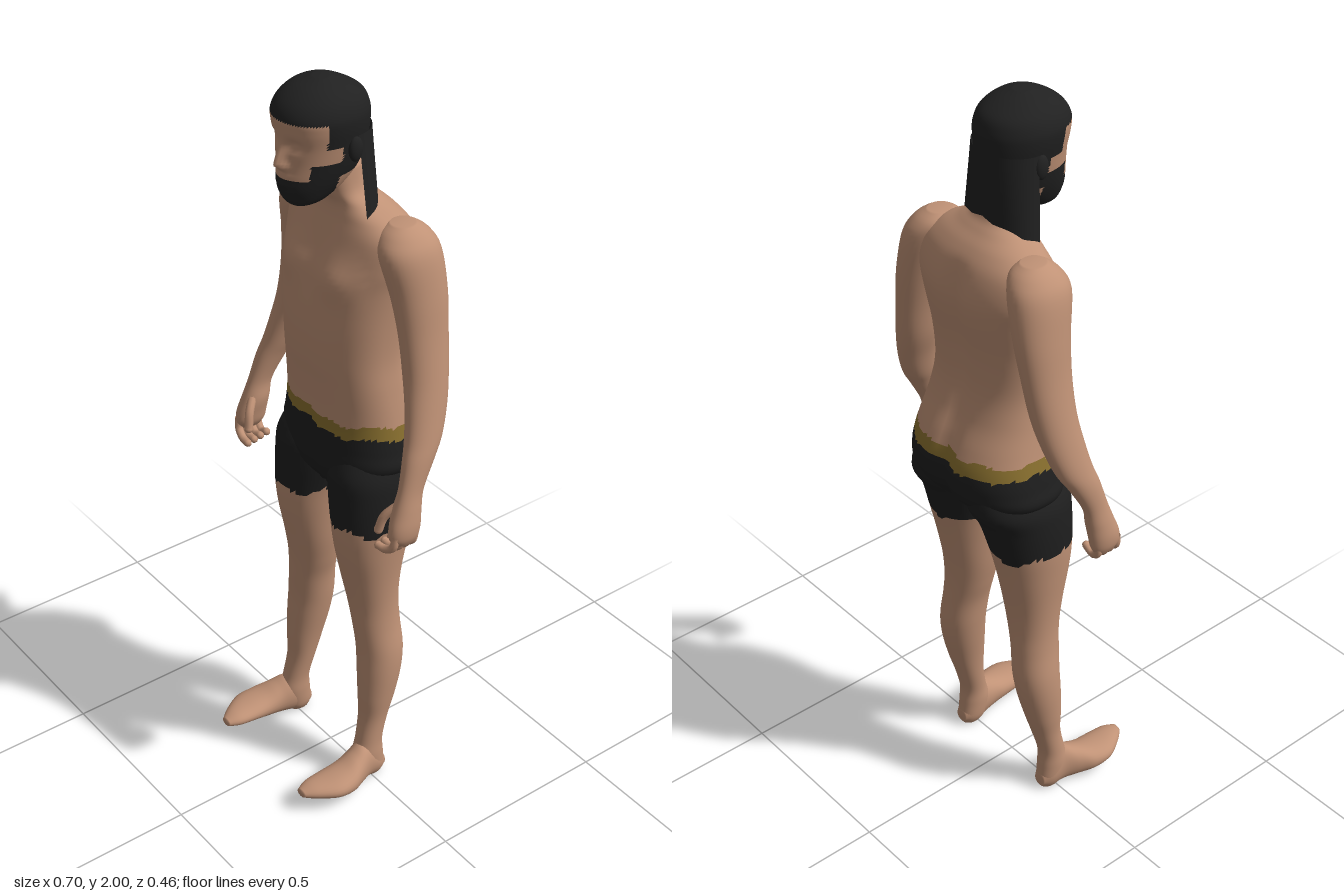
import * as THREE from 'three';

const mat = (name, color) => {
  const m = new THREE.MeshStandardMaterial({ color, side: THREE.DoubleSide });
  m.name = name;
  return m;
};

// Smooth interpolation through four values
const spline = (a, b, c, d, t) =>
  b + 0.5 * t * (c - a + t * (2 * a - 5 * b + 4 * c - d + t * (3 * (b - c) + d - a)));

const bump = (v, centre, width) => Math.exp(-(((v - centre) / width) ** 2));

// Closed body through cross-sections [t, a0, a1, b0, b1]: t runs along the axis, a and b are the
// extents of the ring (x and z on a vertical axis, x and y on a z axis).
// tweak(p) reshapes points, paint(p) picks a material index for each face.
function loft(sections, { axis = 'y', side = 1, segs = 36, steps = 5, power = 2.1, tweak, paint } = {}) {
  const rings = [];
  const last = sections.length - 1;
  for (let i = 0; i < last; i++) {
    const q = [i - 1, i, i + 1, i + 2].map(k => sections[Math.min(last, Math.max(0, k))]);
    for (let s = 0; s < steps; s++) {
      rings.push(q[0].map((_, k) => spline(q[0][k], q[1][k], q[2][k], q[3][k], s / steps)));
    }
  }
  rings.push(sections[last]);
  // Close both ends on a point
  const point = ([t, a0, a1, b0, b1]) => [t, (a0 + a1) / 2, (a0 + a1) / 2, (b0 + b1) / 2, (b0 + b1) / 2];
  rings.unshift(point(rings[0]));
  rings.push(point(rings[rings.length - 1]));

  const pos = [];
  const p = new THREE.Vector3();
  for (const [t, a0, a1, b0, b1] of rings) {
    for (let j = 0; j < segs; j++) {
      const c = Math.cos(j / segs * Math.PI * 2), s = Math.sin(j / segs * Math.PI * 2);
      const a = side * (a0 + a1) / 2 + Math.abs(a1 - a0) / 2 * Math.sign(c) * Math.abs(c) ** (2 / power);
      const b = (b0 + b1) / 2 + Math.abs(b1 - b0) / 2 * Math.sign(s) * Math.abs(s) ** (2 / power);
      if (axis === 'y') p.set(a, t, b); else p.set(a, b, t);
      if (tweak) tweak(p);
      pos.push(p.x, p.y, p.z);
    }
  }
  const buckets = [[], [], []];
  const addFace = (a, b, c) => {
    p.set(0, 0, 0);
    for (const v of [a, b, c]) p.add(new THREE.Vector3().fromArray(pos, v * 3));
    p.divideScalar(3);
    buckets[paint ? paint(p) : 0].push(...(axis === 'y' ? [a, b, c] : [a, c, b]));
  };
  for (let i = 0; i < rings.length - 1; i++) {
    for (let j = 0; j < segs; j++) {
      const k = (j + 1) % segs, lo = i * segs, hi = lo + segs;
      addFace(lo + j, hi + j, lo + k);
      addFace(hi + j, hi + k, lo + k);
    }
  }
  const geo = new THREE.BufferGeometry();
  geo.setAttribute('position', new THREE.Float32BufferAttribute(pos, 3));
  geo.setIndex(buckets.flat());
  let start = 0;
  buckets.forEach((list, i) => {
    if (list.length) geo.addGroup(start, list.length, i);
    start += list.length;
  });
  geo.computeVertexNormals();
  return geo;
}

export function createModel() {
  const root = new THREE.Group();
  root.name = 'standingMan';
  const skin = mat('skin', 0xc09276);
  const hair = mat('hair', 0x212121);
  const cloth = mat('shortsCloth', 0x1f1f1f);
  const gold = mat('waistbandGold', 0x8c7230);
  const add = (name, geo, material, parent = root) => {
    const m = new THREE.Mesh(geo, material);
    m.name = name;
    parent.add(m);
    return m;
  };
  // Symmetric section: height, half width, back, front
  const sym = ([y, w, back, front]) => [y, -w, w, back, front];

  // Torso with neck, waistband and upper shorts
  const wobble = p => 0.004 * Math.sin(p.x * 70) + 0.003 * Math.sin(p.z * 90 + p.x * 31);
  add('torso', loft([
    [0.89, 0.06, -0.1, 0.02], [0.94, 0.15, -0.165, 0.055], [1.0, 0.21, -0.22, 0.068],
    [1.05, 0.207, -0.234, 0.067], [1.1, 0.198, -0.229, 0.065], [1.15, 0.189, -0.212, 0.067],
    [1.22, 0.179, -0.183, 0.073], [1.3, 0.172, -0.167, 0.08], [1.4, 0.178, -0.171, 0.079],
    [1.5, 0.19, -0.187, 0.066], [1.56, 0.202, -0.187, 0.048], [1.62, 0.198, -0.168, 0.028],
    [1.66, 0.155, -0.142, 0.016], [1.69, 0.1, -0.112, 0.014], [1.72, 0.066, -0.088, 0.028],
    [1.78, 0.058, -0.075, 0.05],
  ].map(sym), {
    segs: 64, steps: 6, power: 2.35,
    tweak: p => {
      const body = THREE.MathUtils.smoothstep(1.65 - p.y, 0, 0.1);
      if (p.z < -0.08) p.z += 0.017 * bump(p.x, 0, 0.03) * body;
      if (p.z > 0.02) {
        p.z += 0.013 * bump(Math.abs(p.x), 0.085, 0.05) * bump(p.y, 1.515, 0.05);
        p.z -= 0.006 * bump(p.x, 0, 0.02) * body;
      }
    },
    paint: p => (p.y + wobble(p) < 1.092 ? 2 : p.y + wobble(p) < 1.127 ? 1 : 0),
  }), [skin, gold, cloth]);

  // Head with painted hair cap and beard
  add('head', loft([
    [1.7, 0.022, 0.05, 0.108], [1.715, 0.045, 0.02, 0.127], [1.745, 0.062, -0.03, 0.141],
    [1.78, 0.076, -0.06, 0.141], [1.82, 0.087, -0.078, 0.138], [1.86, 0.095, -0.086, 0.139],
    [1.9, 0.102, -0.088, 0.145], [1.93, 0.102, -0.085, 0.146], [1.96, 0.089, -0.07, 0.128],
    [1.985, 0.061, -0.03, 0.092], [2.0, 0.02, 0.01, 0.047],
  ].map(sym), {
    segs: 96, steps: 6, power: 2.1,
    tweak: p => {
      if (p.z < 0.06) return;
      const ax = Math.abs(p.x);
      const ridge = p.y > 1.815 ? bump(p.y, 1.815, 0.04) : bump(p.y, 1.815, 0.012);
      p.z += 0.023 * bump(p.x, 0, 0.013) * ridge;                                // nose
      p.z += 0.008 * bump(ax, 0.015, 0.008) * bump(p.y, 1.81, 0.01);             // nostrils
      p.z -= 0.013 * bump(ax, 0.036, 0.018) * bump(p.y, 1.865, 0.014);           // eye sockets
      p.z += 0.007 * bump(ax, 0.036, 0.01) * bump(p.y, 1.863, 0.007);            // eyelids
      p.z += 0.006 * bump(p.x, 0, 0.025) * (bump(p.y, 1.785, 0.006) + bump(p.y, 1.766, 0.008)); // lips
    },
    paint: p => {
      const cap = p.y > 1.922 || (p.y > 1.862 && p.z < 0.075) || (p.y > 1.78 && p.z < 0.033);
      const beard = p.z > 0.03 && (p.y < 1.778 || (p.y < 1.82 && p.z < 0.105));
      return cap || beard ? 1 : 0;
    },
  }), [skin, hair]);

  // Long hair hanging behind the ears and over the nape
  const fall = new THREE.CylinderGeometry(1, 1, 1, 32, 10, true, Math.PI / 2, Math.PI);
  const fp = fall.attributes.position;
  for (let i = 0; i < fp.count; i++) {
    const down = 0.5 - fp.getY(i), edge = Math.abs(fp.getX(i));
    fp.setXYZ(i, fp.getX(i) * (0.099 + 0.019 * down),
      1.88 - down * (0.17 + 0.05 * edge ** 6), -0.004 - 0.012 * down * edge + fp.getZ(i) * 0.085);
  }
  fall.computeVertexNormals();
  add('longHair', fall, hair);

  for (const side of [1, -1]) {
    const label = side > 0 ? 'left' : 'right';

    const ear = add(label + 'Ear', new THREE.SphereGeometry(1, 16, 12), hair);
    ear.scale.set(0.011, 0.031, 0.019);
    ear.position.set(side * 0.098, 1.848, 0.004);

    // Leg with the shorts painted on its upper part
    add(label + 'Leg', loft([
      [0.005, 0.145, 0.188, -0.04, 0.02], [0.03, 0.134, 0.2, -0.046, 0.035],
      [0.08, 0.13, 0.203, -0.042, 0.045], [0.13, 0.13, 0.2, -0.04, 0.033],
      [0.2, 0.122, 0.2, -0.058, 0.02], [0.27, 0.113, 0.207, -0.08, 0.02],
      [0.35, 0.1, 0.212, -0.1, 0.018], [0.42, 0.09, 0.21, -0.108, 0.016],
      [0.5, 0.08, 0.199, -0.105, 0.022], [0.57, 0.063, 0.195, -0.104, 0.028],
      [0.65, 0.047, 0.198, -0.112, 0.042], [0.75, 0.035, 0.207, -0.132, 0.062],
      [0.83, 0.024, 0.214, -0.152, 0.07], [0.92, 0.006, 0.217, -0.178, 0.07],
      [0.98, 0.004, 0.212, -0.211, 0.067], [1.04, 0.03, 0.185, -0.21, 0.04],
    ], { side, segs: 40, steps: 6, paint: p => (p.y + 1.5 * wobble(p) > 0.828 ? 1 : 0) }), [skin, cloth]);

    // Foot, turned out a little with the toes raised
    add(label + 'Foot', loft([
      [-0.045, 0.15, 0.185, 0.012, 0.05], [-0.02, 0.135, 0.2, 0.001, 0.085],
      [0.02, 0.134, 0.209, 0.004, 0.122], [0.06, 0.139, 0.226, 0.01, 0.108],
      [0.1, 0.14, 0.242, 0.018, 0.092], [0.15, 0.141, 0.243, 0.03, 0.083],
      [0.2, 0.146, 0.216, 0.039, 0.077], [0.232, 0.16, 0.19, 0.048, 0.067],
    ], { axis: 'z', side, segs: 28 }), skin);

    // Arm down to the knuckles
    add(label + 'Arm', loft([
      [0.89, 0.31, 0.34, -0.01, 0.05], [0.91, 0.298, 0.348, -0.02, 0.064],
      [0.94, 0.292, 0.35, -0.025, 0.062], [0.98, 0.286, 0.345, -0.03, 0.048],
      [1.03, 0.288, 0.337, -0.04, 0.03], [1.1, 0.272, 0.333, -0.078, 0.01],
      [1.15, 0.255, 0.326, -0.108, -0.006], [1.22, 0.235, 0.313, -0.133, -0.02],
      [1.3, 0.208, 0.298, -0.15, -0.03], [1.4, 0.186, 0.281, -0.161, -0.03],
      [1.5, 0.16, 0.269, -0.168, -0.02], [1.6, 0.13, 0.253, -0.163, -0.002],
      [1.645, 0.12, 0.227, -0.142, -0.02], [1.668, 0.14, 0.195, -0.11, -0.05],
    ], { side }), skin);

    // Curled fingers and thumb
    const hand = new THREE.Group();
    hand.name = label + 'Fingers';
    root.add(hand);
    const digit = (name, pts, r) => {
      const path = new THREE.CatmullRomCurve3(pts.map(([x, y, z]) => new THREE.Vector3(side * x, y, z)));
      add(name, new THREE.TubeGeometry(path, 12, r, 10), skin, hand);
      add(name + 'Tip', new THREE.SphereGeometry(r, 10, 8), skin, hand).position.copy(path.getPoint(1));
    };
    for (let i = 0; i < 4; i++) {
      const z = 0.054 - i * 0.02;
      digit('finger', [[0.33, 0.92, z], [0.326, 0.888, z + 0.003], [0.302, 0.872, z + 0.008],
        [0.277, 0.87 + i * 0.004, z + 0.01]], 0.0105);
    }
    digit('thumb', [[0.305, 0.99, 0.025], [0.283, 0.955, 0.052], [0.274, 0.915, 0.062]], 0.0115);
  }
  return root;
}
